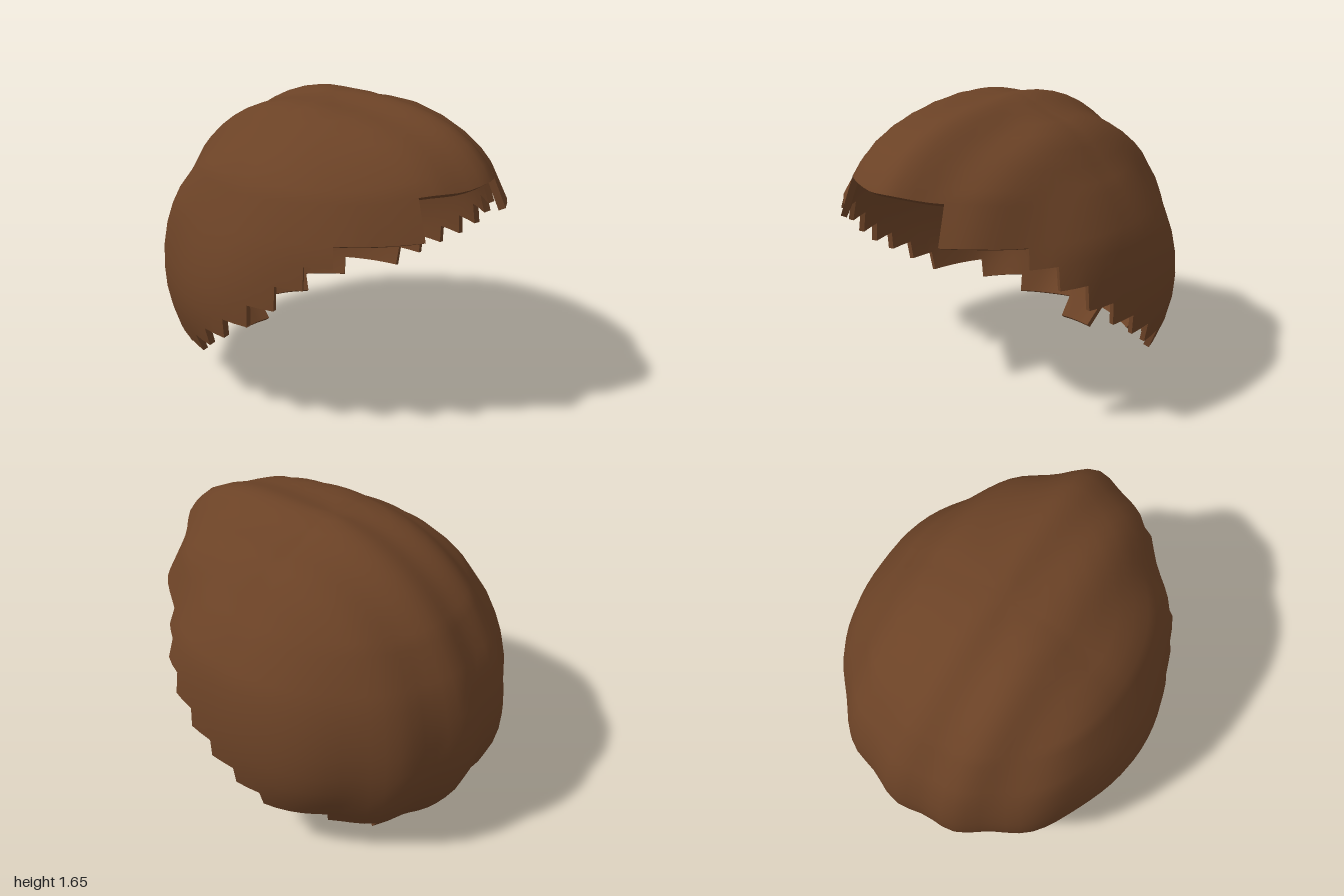
import * as THREE from 'three';
import { mergeVertices, mergeGeometries } from 'three/addons/utils/BufferGeometryUtils.js';

const RAD = Math.PI / 180;
const COLS = 80; // 4.5 degrees each, column 0 starts at the front
const CENTRE_Y = 0.62;

// Latitudes of the rows: the lower ones carry the stepped hairline
const rows = [-46.8, -37.7, -30.4, -22.8, -15, -7.4, 0, 6.8, 14.2, 21, 27, 38];
for (let a = 42; a <= 90; a += 6) rows.push(a);

// Hairline: [last column of the step, lowest row], from front to back on one side
const steps = [[5, 11], [11, 10], [13, 9], [15, 8], [17, 7], [19, 6], [21, 5], [23, 4], [28, 3], [32, 2], [38, 1], [40, 0]];
function lowestRow(col) {
  const c = ((col % COLS) + COLS) % COLS;
  const k = c < COLS / 2 ? c : COLS - 1 - c;
  return steps.find(s => k < s[0])[1];
}

// Point on the lumpy cap; the forehead is fuller than the back and comes to a soft peak
function capPoint(col, row, scale) {
  const phi = col * 360 / COLS * RAD, theta = rows[row] * RAD;
  const front = Math.max(0, Math.cos(phi));
  const n = 2 + 0.5 * front + 1.1 * front ** 8;
  const depth = 1 + 0.02 * front + 0.08 * front ** 14;
  const c = Math.max(0, Math.cos(theta)), s = Math.sin(theta);
  const r = scale / (c ** n + Math.abs(s) ** n) ** (1 / n);
  const p = new THREE.Vector3(
    0.91 * r * c * Math.sin(phi),
    (s > 0 ? 1.01 : 0.85) * r * s,
    depth * r * c * Math.cos(phi));
  // Soft locks running from front to back
  p.multiplyScalar(1 + 0.014 * Math.cos(2 * Math.PI * (p.x - 0.09) / 0.365));
  p.y += CENTRE_Y;
  return p;
}

function fromTriangles(points, smooth) {
  let g = new THREE.BufferGeometry().setFromPoints(points);
  if (smooth) g = mergeVertices(g, 1e-4);
  g.computeVertexNormals();
  return smooth ? g.toNonIndexed() : g;
}

function addQuad(list, a, b, c, d) {
  list.push(a, b, c);
  if (c.distanceTo(d) > 1e-5) list.push(a, c, d);
}

// One smooth skin of the shell
function skin(scale, inward) {
  const pts = [];
  for (let i = 0; i < COLS; i++) {
    for (let j = lowestRow(i); j < rows.length - 1; j++) {
      const a = capPoint(i, j, scale), b = capPoint((i + 1) % COLS, j, scale);
      const c = capPoint((i + 1) % COLS, j + 1, scale), d = capPoint(i, j + 1, scale);
      if (inward) addQuad(pts, b, a, d, c);
      else addQuad(pts, a, b, c, d);
    }
  }
  return fromTriangles(pts, true);
}

// Rim joining both skins along the stepped hairline
function rim(outer, inner) {
  const pts = [];
  const wall = (i0, j0, i1, j1) => addQuad(pts,
    capPoint(i0, j0, inner), capPoint(i1, j1, inner),
    capPoint(i1, j1, outer), capPoint(i0, j0, outer));
  for (let i = 0; i < COLS; i++) {
    const low = lowestRow(i), next = lowestRow(i + 1);
    wall(i, low, i + 1, low);
    for (let j = Math.min(low, next); j < Math.max(low, next); j++) {
      if (next > low) wall(i + 1, j, i + 1, j + 1);
      else wall(i + 1, j + 1, i + 1, j);
    }
  }
  return fromTriangles(pts, false);
}

export function createModel() {
  const group = new THREE.Group();
  group.name = 'hairCap';
  const brown = new THREE.MeshStandardMaterial({ color: 0x6b4226 });
  brown.name = 'hairBrown';

  // Outer skin, inner skin and rim form one closed shell
  const shell = new THREE.Mesh(
    mergeGeometries([skin(1, false), skin(0.965, true), rim(1, 0.965)]), brown);
  shell.name = 'hairShell';
  group.add(shell);
  return group;
}
